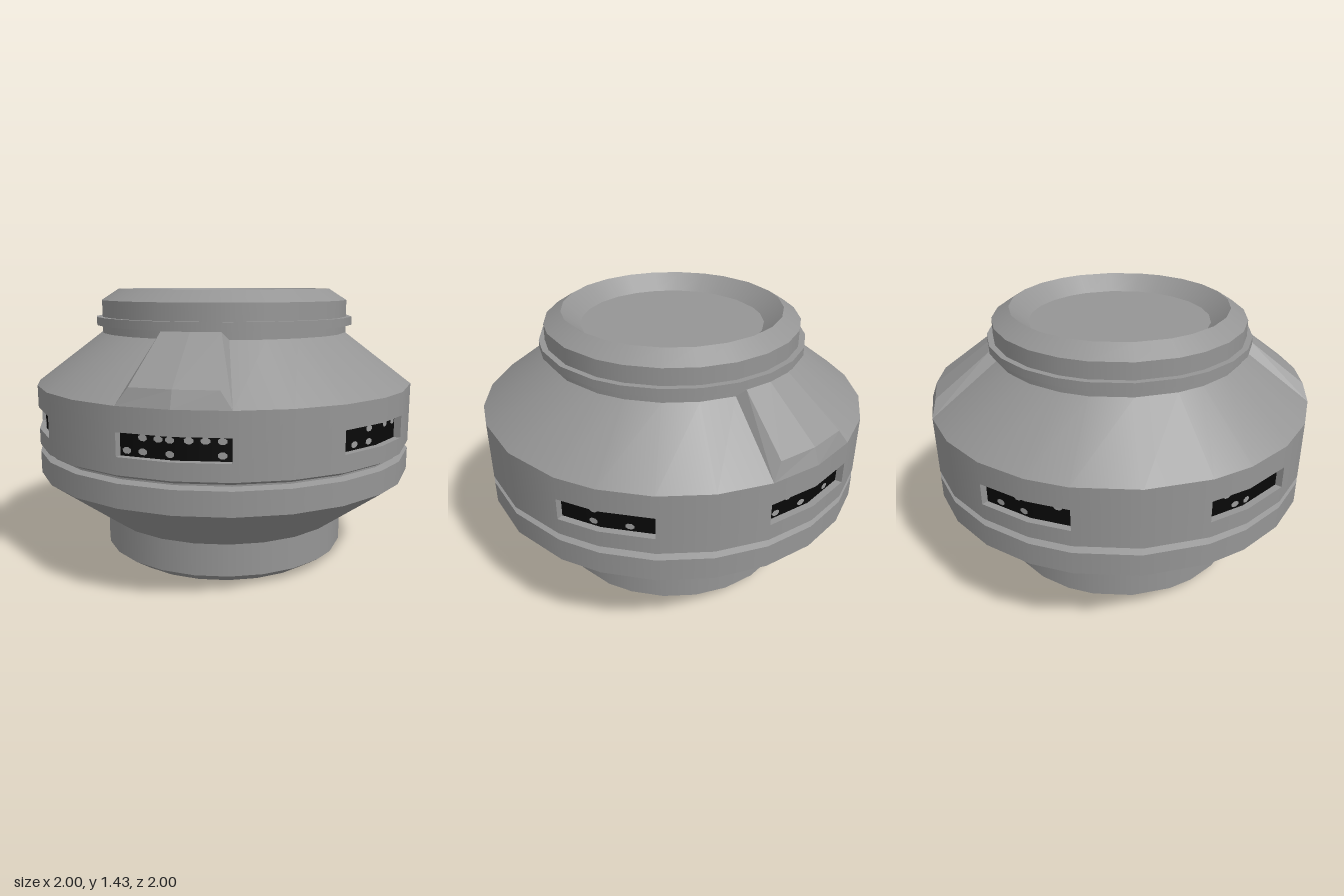
import * as THREE from 'three';
import { mergeGeometries } from 'three/addons/utils/BufferGeometryUtils.js';

const rad = THREE.MathUtils.degToRad;
const hull = new THREE.MeshStandardMaterial({ color: 0x959595 });
hull.name = 'hullGrey';
const black = new THREE.MeshStandardMaterial({ color: 0x080808 });
black.name = 'windowBlack';
const lit = new THREE.MeshStandardMaterial({ color: 0x9c9c9c });
lit.name = 'windowLight';

// Corner angles of the hull, measured from the front (+z) towards +x
const half = [0, 15, 30, 45, 60, 72, 90, 108, 120, 135, 150, 165];
const ANGLES = [...half, 180, ...half.slice(1).reverse().map(a => 360 - a), 360];
const SILL = 0.72, HEAD = 0.83, INNER = 0.966;

// Six windows: corner angles and lights as [angle, row]
const WINDOWS = [
  { a: [-15, 0, 15], lights: [[-13, 0], [-8.4, 0], [-8.4, 1], [-4, 1], [-0.8, 0], [-0.8, 1], [4, 1], [8.3, 1], [12.6, 1], [12.6, 0]] },
  { a: [45, 60, 72], lights: [[50.5, 0], [56.5, 0], [56.5, 1], [65, 1], [70, 1]] },
  { a: [108, 120, 135], lights: [[118, 0], [118, 1], [128, 0]] },
  { a: [165, 180, 195], lights: [[168, 0], [172, 1], [177, 0], [184, 1], [188, 0], [192, 1]] },
  { a: [225, 240, 252], lights: [[230, 0], [236, 1], [238, 0], [248, 1]] },
  { a: [288, 300, 315], lights: [[294, 1], [297, 0], [301, 0]] },
];

const at = (r, y, deg) => [r * Math.sin(rad(deg)), y, r * Math.cos(rad(deg))];

function geometry(pos, normals) {
  const g = new THREE.BufferGeometry();
  g.setAttribute('position', new THREE.Float32BufferAttribute(pos, 3));
  if (normals) g.setAttribute('normal', new THREE.Float32BufferAttribute(normals, 3));
  else g.computeVertexNormals();
  return g;
}

// Turn a [radius, y] profile through the angles: smooth around, sharp along the profile
function sweep(profile, angles) {
  const pos = [], nor = [];
  for (let i = 0; i < profile.length - 1; i++) {
    const [r0, y0] = profile[i], [r1, y1] = profile[i + 1];
    const len = Math.hypot(r1 - r0, y1 - y0);
    const nr = (y1 - y0) / len, ny = (r0 - r1) / len;
    for (let j = 0; j < angles.length - 1; j++) {
      const a = angles[j], b = angles[j + 1];
      for (const [r, y, t] of [[r0, y0, a], [r0, y0, b], [r1, y1, b], [r0, y0, a], [r1, y1, b], [r1, y1, a]]) {
        pos.push(...at(r, y, t));
        nor.push(...at(nr, ny, t));
      }
    }
  }
  return geometry(pos, nor);
}

function add(parent, name, geo, mat) {
  const mesh = new THREE.Mesh(geo, mat);
  mesh.name = name;
  parent.add(mesh);
  return mesh;
}

// Raised wedge over the shoulder, made from four rows of [radius, y, half angle]
function wedgeGeometry() {
  const rows = [[1, 0.945, 15], [0.97, 1.025, 12], [0.685, 1.243, 12], [0.655, 1.205, 15]]
    .map(([r, y, h]) => [-h, 0, h].map(a => at(r, y, a)));
  const pos = [];
  const quad = (a, b, c, d) => pos.push(...a, ...b, ...c, ...a, ...c, ...d);
  for (let i = 0; i < 3; i++)
    for (let j = 0; j < 2; j++)
      quad(rows[i][j], rows[i][j + 1], rows[i + 1][j + 1], rows[i + 1][j]);
  quad(rows[0][2], rows[3][2], rows[2][2], rows[1][2]);
  quad(rows[0][0], rows[1][0], rows[2][0], rows[3][0]);
  return geometry(pos);
}

// Recessed dark panel with its end walls and small lights
function addWindow(parent, { a, lights }) {
  const win = new THREE.Group();
  win.name = 'window';
  parent.add(win);
  add(win, 'windowPanel', sweep([[INNER, SILL], [INNER, HEAD]], a), black);
  const ends = [[a[0], 90], [a[2], -90]].map(([t, turn]) =>
    new THREE.PlaneGeometry(1 - INNER, HEAD - SILL)
      .rotateY(rad(t + turn))
      .translate(...at((1 + INNER) / 2, (SILL + HEAD) / 2, t)));
  add(win, 'windowEnds', mergeGeometries(ends), hull);
  const spots = lights.map(([t, row]) => {
    const f = t < a[1] ? 0 : 1;
    const mid = (a[f] + a[f + 1]) / 2, span = rad(a[f + 1] - a[f]) / 2;
    const flat = INNER * Math.cos(span);
    return new THREE.CircleGeometry(0.022, 8).rotateZ(Math.PI / 8).scale(1, 0.72, 1)
      .translate(flat * Math.tan(rad(t - mid)), row ? 0.808 : 0.746, flat + 0.003)
      .rotateY(rad(mid));
  });
  add(win, 'windowLights', mergeGeometries(spots), lit);
}

export function createModel() {
  const model = new THREE.Group();
  model.name = 'station';

  // Foot with dished underside, lower cone, lower band and groove
  add(model, 'foot', sweep([[0, 0.08], [0.47, 0.08], [0.565, 0], [0.655, 0.06], [0.655, 0.225]], ANGLES), hull);
  add(model, 'lowerHull', sweep([[0.655, 0.225], [1, 0.485], [1, 0.6]], ANGLES), hull);
  add(model, 'groove', sweep([[1, 0.6], [0.967, 0.612], [0.967, 0.62], [1, 0.638]], ANGLES), hull);

  // Main band, stepped inwards where there are windows
  const walls = [];
  for (let i = 0; i < ANGLES.length - 1; i++) {
    const pair = [ANGLES[i], ANGLES[i + 1]], mid = (pair[0] + pair[1]) / 2;
    const open = WINDOWS.some(({ a }) => [0, 360].some(k => mid > a[0] + k && mid < a[2] + k));
    if (open) {
      walls.push(sweep([[1, 0.638], [1, SILL], [INNER, SILL]], pair));
      walls.push(sweep([[INNER, HEAD], [1, HEAD], [1, 0.945]], pair));
    } else walls.push(sweep([[1, 0.638], [1, 0.945]], pair));
  }
  add(model, 'mainBand', mergeGeometries(walls), hull);
  WINDOWS.forEach(w => addWindow(model, w));

  // Shoulder, neck with collar, and dished top
  add(model, 'shoulder', sweep([[1, 0.945], [0.655, 1.205]], ANGLES), hull);
  add(model, 'neck', sweep([[0.655, 1.205], [0.655, 1.245]], ANGLES), hull);
  add(model, 'collar', sweep([[0.655, 1.245], [0.685, 1.245], [0.685, 1.287], [0.655, 1.287]], ANGLES), hull);
  add(model, 'dishedTop', sweep([[0.655, 1.287], [0.655, 1.372], [0.565, 1.43], [0.47, 1.35], [0, 1.35]], ANGLES), hull);

  // Wedges at front and back
  add(model, 'frontWedge', wedgeGeometry(), hull);
  add(model, 'backWedge', wedgeGeometry().rotateY(Math.PI), hull);
  return model;
}
